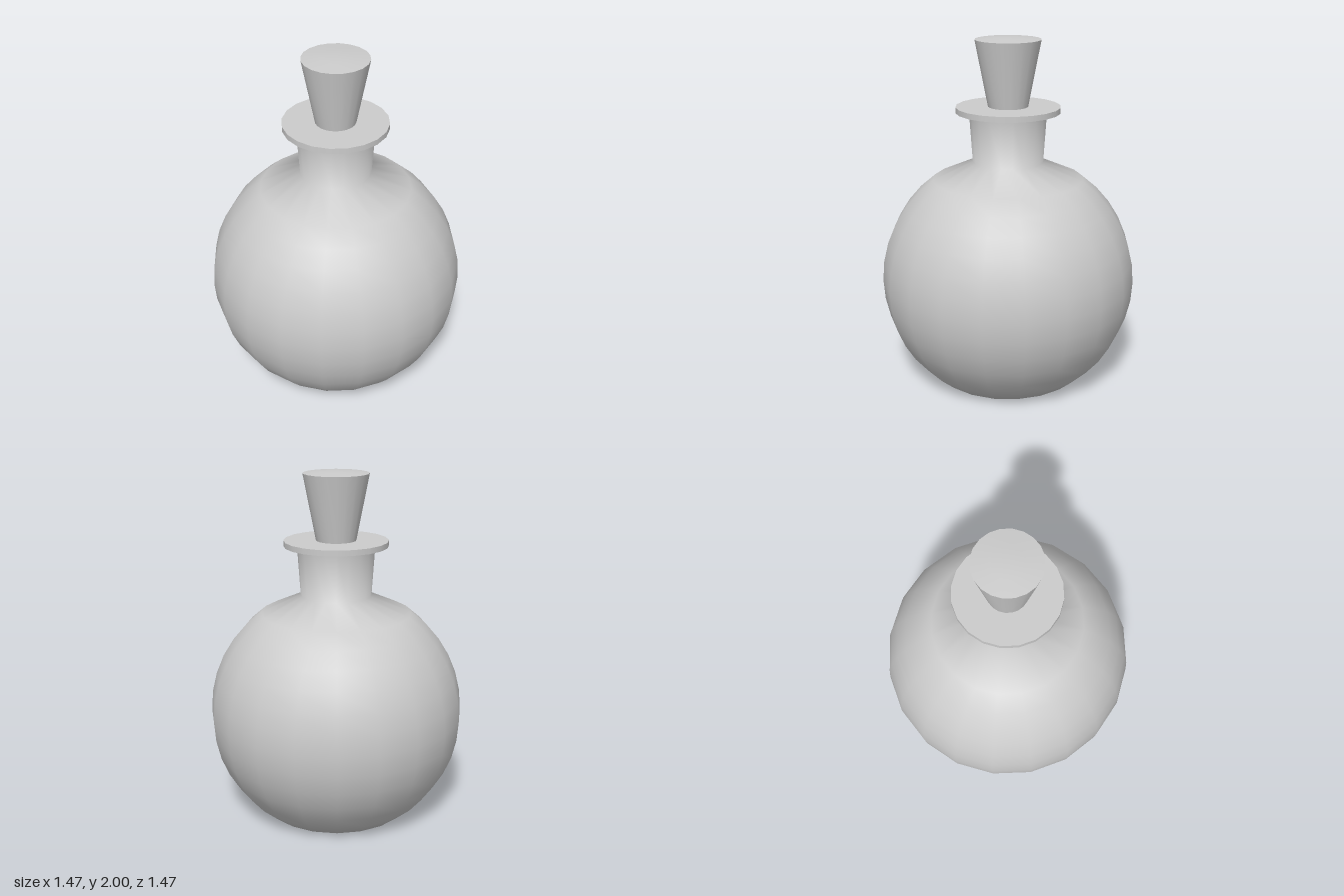
import * as THREE from 'three';
import { toCreasedNormals } from 'three/addons/utils/BufferGeometryUtils.js';

const SIDES = 20;
const material = new THREE.MeshStandardMaterial({ color: 0xcccccc });

// Revolves [radius, height] pairs, listed from bottom to top
function turned(name, profile, creased) {
  const points = profile.map(([r, y]) => new THREE.Vector2(r, y));
  let geometry = new THREE.LatheGeometry(points, SIDES);
  if (creased) geometry = toCreasedNormals(geometry, Math.PI / 6);
  const mesh = new THREE.Mesh(geometry, material);
  mesh.name = name;
  return mesh;
}

export function createModel() {
  const group = new THREE.Group();
  group.name = 'stopperedFlask';

  // Spherical belly cut flat at the base, flowing smoothly into the neck
  const radius = 0.737, centre = 0.597;
  const profile = [[0, 0]];
  for (let deg = -54; deg <= 54; deg += 9) {
    const a = THREE.MathUtils.degToRad(deg);
    profile.push([radius * Math.cos(a), Math.max(0, centre + radius * Math.sin(a))]);
  }
  profile.push([0.203, 1.295], [0.222, 1.585]);
  group.add(turned('bottle', profile, false));

  // Flat flange around the mouth
  const lip = new THREE.Mesh(new THREE.CylinderGeometry(0.298, 0.298, 0.032, SIDES), material);
  lip.name = 'lip';
  lip.position.y = 1.596;
  group.add(lip);

  // Tapered stopper with a very slightly domed top
  group.add(turned('stopper', [[0, 1.59], [0.11, 1.59], [0.187, 1.987], [0.09, 1.997], [0, 2]], true));

  return group;
}
